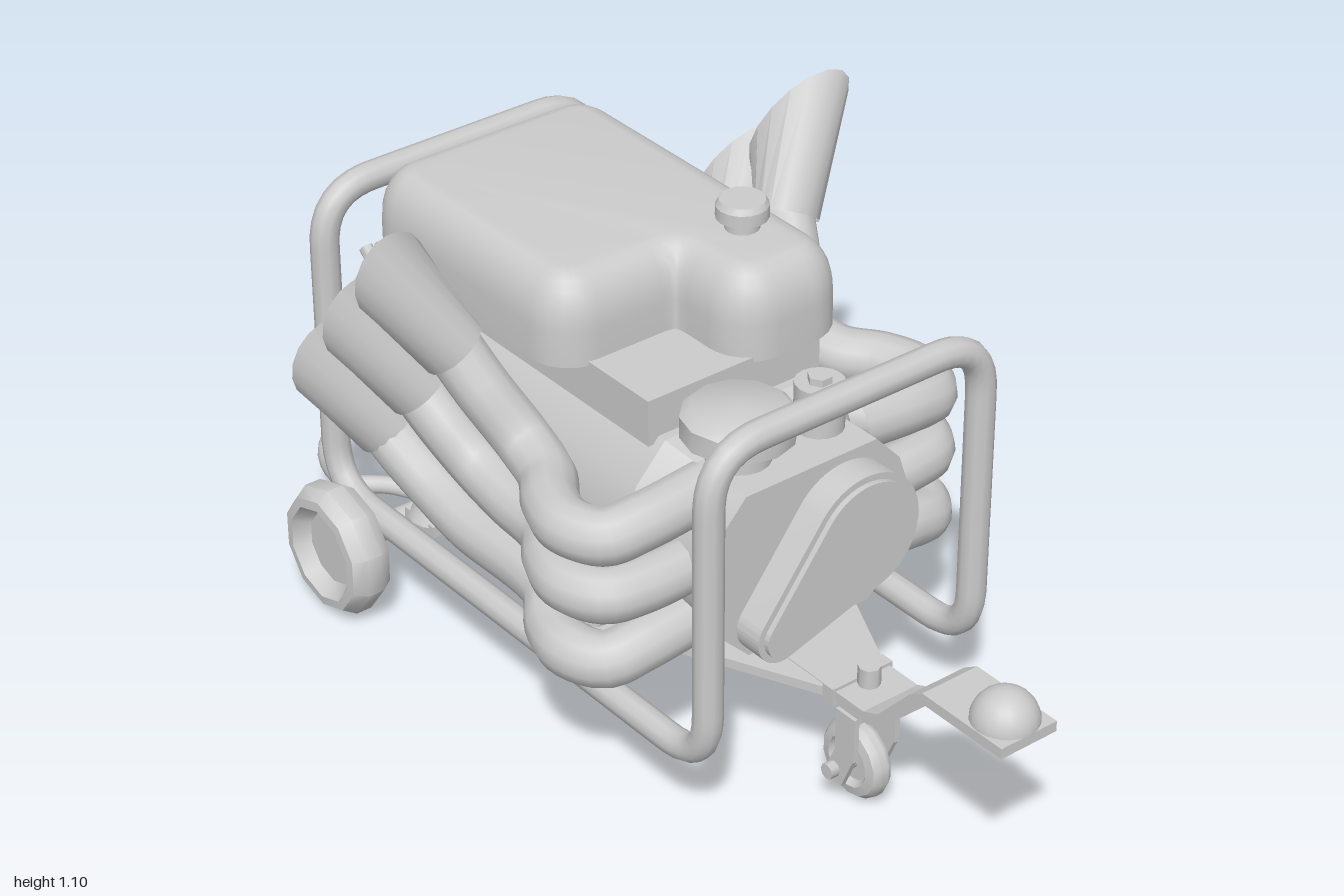
import * as THREE from 'three';
import { toCreasedNormals } from 'three/addons/utils/BufferGeometryUtils.js';

const V = (x, y, z) => new THREE.Vector3(x, y, z);
const grey = new THREE.MeshStandardMaterial({ color: 0xcccccc });
const greyThin = new THREE.MeshStandardMaterial({ color: 0xcccccc, side: THREE.DoubleSide });

function add(parent, name, geo, x = 0, y = 0, z = 0, mat = grey) {
  const m = new THREE.Mesh(geo, mat);
  m.name = name;
  m.position.set(x, y, z);
  parent.add(m);
  return m;
}
const box = (w, h, d) => new THREE.BoxGeometry(w, h, d);
const cyl = (r, h, n = 16, r2 = r) => toCreasedNormals(new THREE.CylinderGeometry(r, r2, h, n), 0.8);
const smoothTube = (pts, r, segs) =>
  new THREE.TubeGeometry(new THREE.CatmullRomCurve3(pts), segs, r, 12);

// Skin between equally sized rings of points, optionally capped
function loft(rings, capped, crease) {
  const n = rings[0].length, pos = [], idx = [];
  rings.forEach(r => r.forEach(p => pos.push(p.x, p.y, p.z)));
  for (let i = 0; i < rings.length - 1; i++)
    for (let j = 0; j < n; j++) {
      const a = i * n + j, b = i * n + (j + 1) % n;
      idx.push(a, b, a + n, b, b + n, a + n);
    }
  if (capped) {
    const last = (rings.length - 1) * n;
    for (let j = 1; j < n - 1; j++) idx.push(0, j + 1, j, last, last + j, last + j + 1);
  }
  const g = new THREE.BufferGeometry();
  g.setAttribute('position', new THREE.Float32BufferAttribute(pos, 3));
  g.setIndex(idx);
  g.computeVertexNormals();
  return toCreasedNormals(g, crease);
}

// Closed loop of straight lines with rounded corners
function roundedLoop(pts, r) {
  const path = new THREE.CurvePath(), n = pts.length;
  const toward = (a, b) => a.clone().add(b.clone().sub(a).setLength(r));
  pts.forEach((p, i) => {
    const next = pts[(i + 1) % n];
    path.add(new THREE.QuadraticBezierCurve3(toward(p, pts[(i + n - 1) % n]), p, toward(p, next)));
    path.add(new THREE.LineCurve3(toward(p, next), toward(next, p)));
  });
  return path;
}

// Engine cross-section at x, scaled about its centre
function section(x, cy, sz, sy) {
  const half = [[0.16, 0.185], [0.22, 0.12], [0.25, 0.03], [0.25, -0.03], [0.22, -0.11], [0.15, -0.18]];
  const all = half.concat(half.slice().reverse().map(([z, y]) => [-z, y]));
  return all.map(([z, y]) => V(x, cy + y * sy, z * sz));
}

// Outline wrapped around a large and a small pulley
function beltShape(grow) {
  const ang = Math.atan2(-0.14, -0.2), R = 0.135 + grow, r = 0.06 + grow;
  const b = Math.acos((R - r) / Math.hypot(0.2, 0.14));
  const s = new THREE.Shape();
  s.absarc(0.08, 0.52, R, ang + b, ang + 2 * Math.PI - b, false);
  s.absarc(-0.12, 0.38, r, ang - b, ang + b, false);
  return s;
}

function buildEngine(g) {
  add(g, 'engineBody', loft([
    section(-0.87, 0.44, 0.95, 0.84), section(-0.78, 0.49, 1.16, 1.16), section(0.17, 0.49, 1.16, 1.16),
    section(0.23, 0.49, 1, 1), section(0.38, 0.49, 1, 1)], true, 0.45));
  [[0, 0.38, 0.065], [-0.014, 0.445, 0.012]].forEach(([grow, x, depth]) => {
    const geo = new THREE.ExtrudeGeometry(beltShape(grow), { depth, bevelEnabled: false, curveSegments: 16 });
    add(g, 'beltCover', toCreasedNormals(geo.rotateY(Math.PI / 2), 0.6), x);
  });
  add(g, 'intakeBlock', box(0.74, 0.1, 0.42), -0.22, 0.74, 0);

  // L-shaped air box: rounded on top, flat underneath
  const c = [[-0.61, -0.21], [-0.10, -0.21], [-0.10, 0.07], [0.095, 0.07], [0.095, 0.21], [-0.61, 0.21]]
    .map(p => new THREE.Vector2(...p));
  const radii = [0.03, 0.03, 0.1, 0.03, 0.03, 0.03], s = new THREE.Shape();
  c.forEach((p, i) => {
    const off = q => p.clone().add(q.clone().sub(p).setLength(radii[i]));
    const a = off(c[(i + 5) % 6]), b = off(c[(i + 1) % 6]);
    if (i) s.lineTo(a.x, a.y); else s.moveTo(a.x, a.y);
    s.quadraticCurveTo(p.x, p.y, b.x, b.y);
  });
  s.closePath();
  const airBox = new THREE.ExtrudeGeometry(s, {
    depth: 0.075, bevelThickness: 0.11, bevelSize: 0.07, bevelSegments: 6, curveSegments: 6 });
  const p = airBox.attributes.position;
  for (let i = 0; i < p.count; i++) p.setZ(i, Math.max(0, p.getZ(i)));
  add(g, 'airBox', toCreasedNormals(airBox.rotateX(-Math.PI / 2), 0.7), 0, 0.78, 0);

  add(g, 'fillerNeck', cyl(0.035, 0.06), -0.015, 0.97, -0.15);
  add(g, 'fillerCap', cyl(0.046, 0.012, 16, 0.053), -0.015, 1.022, -0.15);
  add(g, 'fillerCapRim', cyl(0.053, 0.026), -0.015, 1.003, -0.15);
  add(g, 'filterNeck', cyl(0.065, 0.1), 0.265, 0.69, 0.085);
  add(g, 'filterDisc', cyl(0.113, 0.045, 12), 0.265, 0.752, 0.085);
  add(g, 'filterLid', cyl(0.095, 0.015, 12, 0.113), 0.265, 0.782, 0.085);
  add(g, 'breather', cyl(0.05, 0.12), 0.275, 0.715, -0.105);
  add(g, 'breatherBolt', cyl(0.025, 0.02, 6), 0.275, 0.78, -0.105);
}

function buildPanel(g) {
  // Controls on the sloped top of the end panel; local y points out of the slope
  const panel = new THREE.Group();
  panel.name = 'controlPanel';
  panel.position.set(-0.825, 0.65, 0);
  panel.rotation.z = 0.88;
  g.add(panel);
  add(panel, 'display', box(0.045, 0.02, 0.09), 0.03, 0.005, -0.12);
  for (let i = 0; i < 4; i++) {
    add(panel, 'switch', box(0.035, 0.03, 0.025), -0.025, 0.01, -0.16 + i * 0.04);
    add(panel, 'smallKnob', cyl(0.015, 0.04, 10), -0.03, 0.01, 0.045 + i * 0.037);
  }
  add(panel, 'largeKnob', cyl(0.027, 0.04, 12), 0.03, 0.01, 0.09);
  // Plug and trailing cable
  add(g, 'plug', cyl(0.036, 0.05, 12), -0.875, 0.37, 0.125).rotation.z = Math.PI / 2;
  add(g, 'cable', smoothTube([V(-0.87, 0.37, 0.125), V(-0.925, 0.365, 0.13), V(-0.965, 0.31, 0.14),
    V(-0.975, 0.2, 0.165), V(-0.98, 0.1, 0.21), V(-0.96, 0.03, 0.18), V(-0.88, 0.023, 0.1),
    V(-0.6, 0.023, 0), V(-0.3, 0.023, -0.04), V(0, 0.023, -0.05)], 0.02, 70));
}

function buildExhausts(g, side) {
  const bank = new THREE.Group();
  bank.name = side > 0 ? 'frontExhausts' : 'backExhausts';
  bank.scale.z = side;
  g.add(bank);
  // Height at the engine, height of the run, and x where the pipe starts to rise
  [[0.65, 0.625, -0.03], [0.5, 0.495, -0.18], [0.38, 0.345, -0.33]].forEach(([y0, y, bend], i) => {
    const end = V(-0.19 - 0.155 * i, 0.82 - 0.175 * i, 0.41 - 0.022 * i);
    const run = i === 2 ? 0.365 : y;
    const pts = [V(0.28, y0, 0.18), V(0.28, (y0 + y) / 2, 0.33), V(0.26, y, 0.4), V(0.19, y, 0.432),
      V(0.11, y, 0.41), V(0.03, run, 0.36)];
    if (i) pts.push(V(bend + 0.08, run, 0.345));
    pts.push(V(bend - 0.03, run + 0.025, 0.345), end.clone().lerp(V(bend - 0.03, run + 0.02, 0.35), 0.4), end);
    add(bank, 'exhaustPipe', smoothTube(pts, 0.057, 56));
    // Flared horn with a slanted mouth
    const ring = (c, u, n, b) => {
      const v = n.clone().cross(u).setLength(b);
      return Array.from({ length: 16 }, (_, k) => {
        const a = k / 16 * Math.PI * 2;
        return c.clone().addScaledVector(u, Math.cos(a)).addScaledVector(v, Math.sin(a));
      });
    };
    add(bank, 'exhaustHorn', loft([
      ring(end, V(0.062, 0.03, 0), V(-0.35, 0.8, 0.5), 0.066),
      ring(end.clone().add(V(-0.073, 0.163, 0.09)), V(0.05, 0.105, 0.068), V(-0.93, 0.3, 0.2), 0.085),
    ], false, 0.7), 0, 0, 0, greyThin);
  });
}

function buildFrame(g) {
  const hoop = (x, s) => [V(x, 0.19, s * 0.33), V(x, 0.885, s * 0.33), V(x, 0.885, -s * 0.33), V(x, 0.19, -s * 0.33)];
  add(g, 'tubeFrame', new THREE.TubeGeometry(roundedLoop([...hoop(-0.75, 1), ...hoop(0.48, -1)], 0.12), 240, 0.03, 10, true));
  // Cross straps with bolted feet
  const strap = new THREE.Shape([[-0.32, 0.225], [-0.27, 0.225], [-0.22, 0.25], [0.22, 0.25], [0.27, 0.225], [0.32, 0.225],
    [0.32, 0.25], [0.27, 0.25], [0.22, 0.277], [-0.22, 0.277], [-0.27, 0.25], [-0.32, 0.25]].map(q => new THREE.Vector2(...q)));
  [-0.47, 0.075].forEach(x => {
    add(g, 'crossStrap', new THREE.ExtrudeGeometry(strap, { depth: 0.1, bevelEnabled: false }).rotateY(Math.PI / 2), x - 0.05);
    for (const s of [-1, 1]) {
      add(g, 'foot', cyl(0.04, 0.035, 12, 0.055), x, 0.26, s * 0.28);
      add(g, 'footBolt', cyl(0.022, 0.03, 6), x, 0.285, s * 0.28);
    }
  });
  add(g, 'axle', cyl(0.028, 0.8, 12), -0.62, 0.142, 0).rotation.x = Math.PI / 2;
  const tyre = [[0, -0.015], [0.08, -0.015], [0.105, -0.047], [0.125, -0.045], [0.143, -0.018],
    [0.143, 0.018], [0.125, 0.045], [0.105, 0.047], [0.08, 0.015], [0, 0.015]].map(q => new THREE.Vector2(...q));
  for (const s of [-1, 1])
    add(g, 'wheel', toCreasedNormals(new THREE.LatheGeometry(tyre, 10).rotateX(Math.PI / 2), 0.75), -0.62, 0.142, s * 0.422);
}

function buildHitch(g) {
  // Cranked drawbar
  const bar = new THREE.Shape([[0.3, 0.255], [0.63, 0.255], [0.67, 0.27], [0.79, 0.39], [0.995, 0.39], [0.995, 0.413],
    [0.78, 0.413], [0.745, 0.39], [0.66, 0.295], [0.62, 0.278], [0.3, 0.278]].map(q => new THREE.Vector2(...q)));
  add(g, 'drawbar', new THREE.ExtrudeGeometry(bar, { depth: 0.136, bevelEnabled: false }), 0, 0, -0.068);
  add(g, 'couplingDome', new THREE.SphereGeometry(0.067, 20, 8, 0, Math.PI * 2, 0, Math.PI / 2), 0.93, 0.41, 0);
  const gusset = new THREE.Shape([[0.52, -0.07], [0.52, 0.07], [0.22, 0.21], [0.1, 0.21], [0.1, -0.21], [0.22, -0.21]]
    .map(q => new THREE.Vector2(...q)));
  add(g, 'gussetPlate', new THREE.ExtrudeGeometry(gusset, { depth: 0.02, bevelEnabled: false }).rotateX(-Math.PI / 2), 0, 0.256, 0);
  add(g, 'drawbarClamp', box(0.03, 0.04, 0.15), 0.525, 0.265, 0);
  // Jockey wheel in its fork
  add(g, 'swivelBolt', cyl(0.023, 0.1, 8), 0.558, 0.27, 0);
  add(g, 'forkTop', box(0.06, 0.02, 0.1), 0.558, 0.228, 0);
  for (const s of [-1, 1]) {
    add(g, 'forkArm', box(0.055, 0.1, 0.012), 0.558, 0.18, s * 0.052);
    add(g, 'forkLeg', box(0.05, 0.09, 0.012), 0.545, 0.105, s * 0.052).rotation.z = -0.4;
  }
  const tyre = [[0, -0.012], [0.045, -0.012], [0.055, -0.026], [0.075, -0.022], [0.085, -0.008],
    [0.085, 0.008], [0.075, 0.022], [0.055, 0.026], [0.045, 0.012], [0, 0.012]].map(q => new THREE.Vector2(...q));
  add(g, 'jockeyWheel', toCreasedNormals(new THREE.LatheGeometry(tyre, 14).rotateX(Math.PI / 2), 0.75), 0.53, 0.086, 0);
  add(g, 'jockeyAxle', cyl(0.017, 0.155, 8), 0.53, 0.086, 0).rotation.x = Math.PI / 2;
}

export function createModel() {
  const g = new THREE.Group();
  g.name = 'portableEngine';
  buildEngine(g);
  buildPanel(g);
  buildExhausts(g, 1);
  buildExhausts(g, -1);
  buildFrame(g);
  buildHitch(g);
  return g;
}
